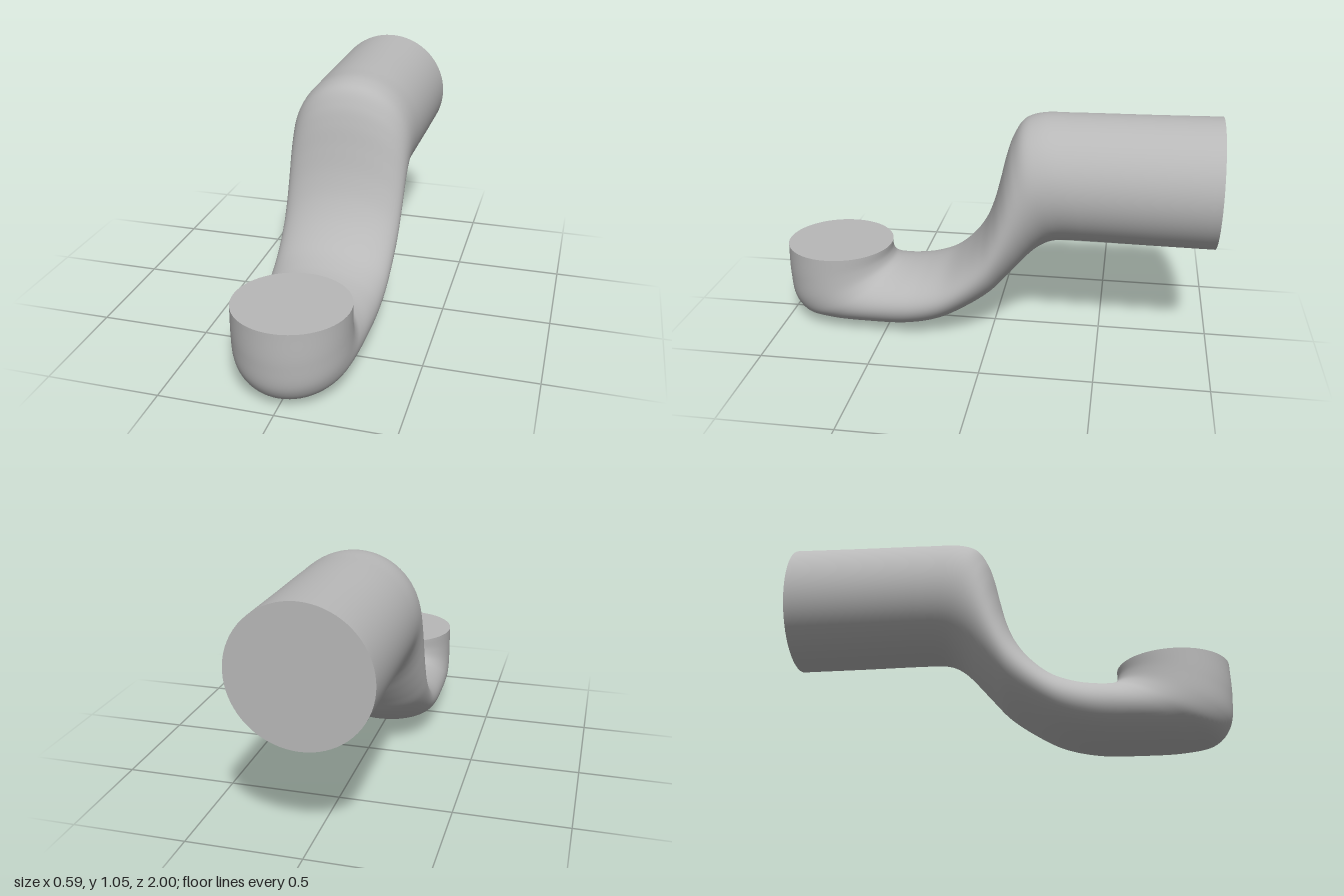
import * as THREE from 'three';

// Sections along the pipe: inner/upper edge (z, y), outer/lower edge (z, y), half width
const SECTIONS = [
  [0.5, 0.375, 1.0, 0.375, 0.25],
  [0.5, 0.335, 1.0, 0.22, 0.25],
  [0.487, 0.308, 0.983, 0.1, 0.252],
  [0.46, 0.294, 0.93, 0.033, 0.255],
  [0.43, 0.29, 0.82, 0.007, 0.258],
  [0.38, 0.291, 0.62, 0.0, 0.262],
  [0.3, 0.305, 0.41, 0.007, 0.266],
  [0.2, 0.345, 0.25, 0.045, 0.27],
  [0.11, 0.425, 0.11, 0.12, 0.273],
  [0.045, 0.52, 0.0, 0.2, 0.276],
  [0.0, 0.63, -0.065, 0.27, 0.278],
  [-0.032, 0.75, -0.12, 0.332, 0.28],
  [-0.058, 0.86, -0.17, 0.388, 0.282],
  [-0.085, 0.94, -0.215, 0.428, 0.284],
  [-0.13, 1.01, -0.265, 0.456, 0.287],
  [-0.2, 1.038, -0.32, 0.468, 0.289],
  [-0.36, 1.044, -0.42, 0.47, 0.291],
  [-0.7, 1.048, -0.7, 0.467, 0.293],
  [-1.0, 1.053, -1.0, 0.465, 0.294],
];

// Sweeps an ellipse between two edge curves
function pipeGeometry(rings, sides) {
  const upper = new THREE.CatmullRomCurve3(SECTIONS.map(([z, y]) => new THREE.Vector3(0, y, z)));
  // x of the lower curve carries the half width
  const lower = new THREE.CatmullRomCurve3(SECTIONS.map(([, , z, y, w]) => new THREE.Vector3(w, y, z)));
  const positions = [];
  const indices = [];
  for (let i = 0; i <= rings; i++) {
    const a = upper.getPoint(i / rings);
    const b = lower.getPoint(i / rings);
    for (let j = 0; j < sides; j++) {
      const angle = (j / sides) * Math.PI * 2;
      const c = Math.cos(angle) / 2;
      positions.push(
        b.x * Math.sin(angle),
        Math.max(0, (a.y + b.y) / 2 + (a.y - b.y) * c),
        (a.z + b.z) / 2 + (a.z - b.z) * c,
      );
      if (i < rings) {
        const p = i * sides + j;
        const q = i * sides + ((j + 1) % sides);
        indices.push(p, q, p + sides, q, q + sides, p + sides);
      }
    }
  }
  const geometry = new THREE.BufferGeometry();
  geometry.setAttribute('position', new THREE.Float32BufferAttribute(positions, 3));
  geometry.setIndex(indices);
  geometry.computeVertexNormals();
  return geometry;
}

export function createModel() {
  const group = new THREE.Group();
  group.name = 'bentPipe';
  const grey = new THREE.MeshStandardMaterial({ color: 0xb8b8b8 });
  grey.name = 'grey';

  const add = (name, geometry) => {
    const mesh = new THREE.Mesh(geometry, grey);
    mesh.name = name;
    group.add(mesh);
    return mesh;
  };

  add('pipeBody', pipeGeometry(144, 72));

  // Flat end faces
  const frontCap = add('frontCap', new THREE.CircleGeometry(0.25, 72));
  frontCap.rotation.x = -Math.PI / 2;
  frontCap.position.set(0, 0.375, 0.75);

  const backCap = add('backCap', new THREE.CircleGeometry(0.294, 72));
  backCap.rotation.y = Math.PI;
  backCap.position.set(0, 0.759, -1);

  return group;
}
